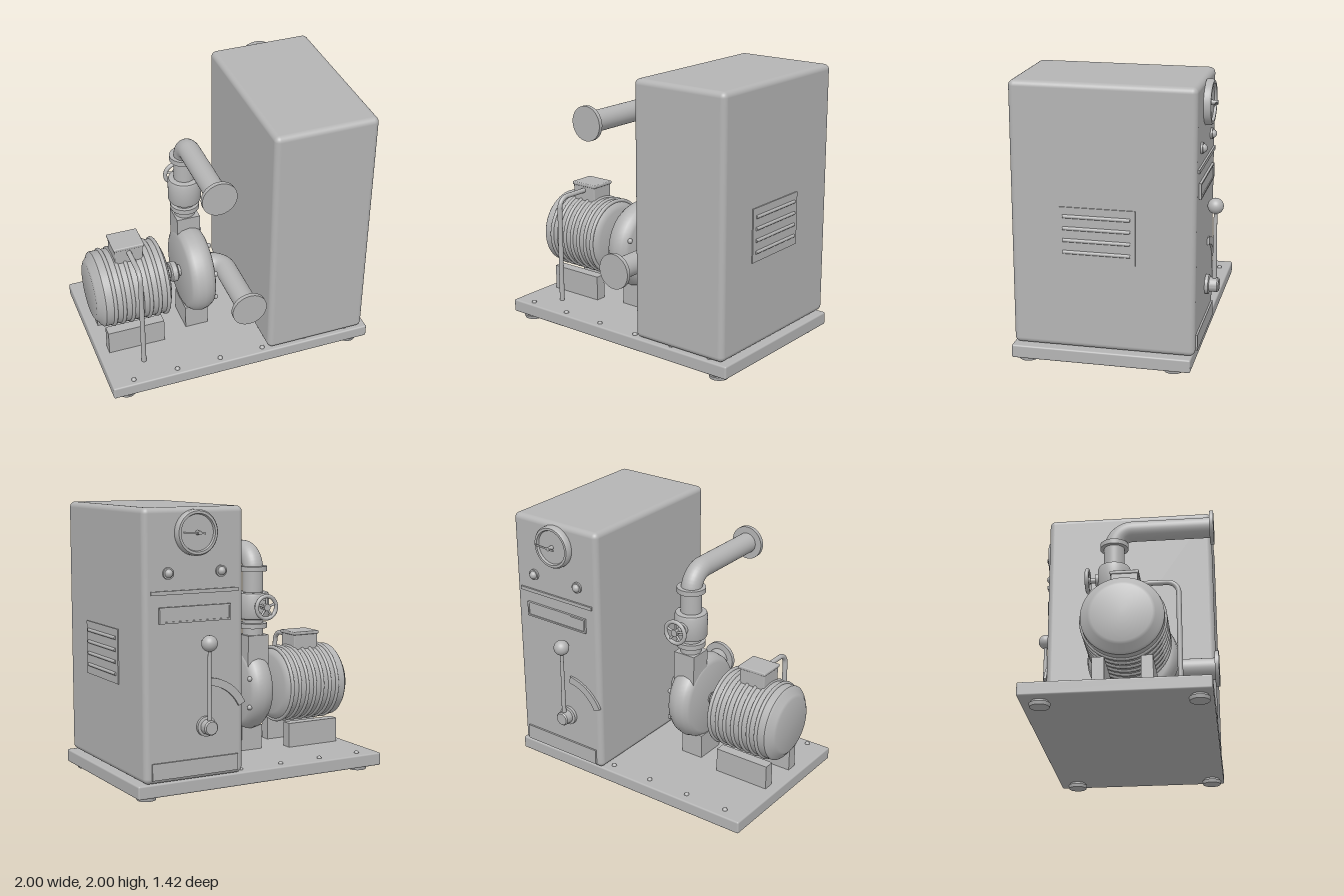
import * as THREE from 'three';
import { toCreasedNormals } from 'three/addons/utils/BufferGeometryUtils.js';
import { RoundedBoxGeometry } from 'three/addons/geometries/RoundedBoxGeometry.js';

const paint = new THREE.MeshStandardMaterial({ color: 0xb4b4b4 });
paint.name = 'greyPaint';
const V = (x, y, z) => new THREE.Vector3(x, y, z);
const UP = V(0, 1, 0);

export function createModel() {
  const root = new THREE.Group();
  root.name = 'pumpSet';

  const group = (name) => {
    const g = new THREE.Group();
    g.name = name;
    root.add(g);
    return g;
  };
  const add = (parent, name, geo, x = 0, y = 0, z = 0) => {
    const m = new THREE.Mesh(geo, paint);
    m.name = name;
    m.position.set(x, y, z);
    parent.add(m);
    return m;
  };
  // box given by its limits, optionally with rounded edges
  const box = (parent, name, [x0, x1], [y0, y1], [z0, z1], r = 0) => {
    const s = [x1 - x0, y1 - y0, z1 - z0];
    const geo = r ? new RoundedBoxGeometry(...s, 4, r) : new THREE.BoxGeometry(...s);
    return add(parent, name, geo, (x0 + x1) / 2, (y0 + y1) / 2, (z0 + z1) / 2);
  };
  // cylinder between two points
  const rod = (parent, name, a, b, r, r2 = r, seg = 40) => {
    const d = b.clone().sub(a);
    const m = add(parent, name, new THREE.CylinderGeometry(r2, r, d.length(), seg));
    m.position.copy(a).addScaledVector(d, 0.5);
    m.quaternion.setFromUnitVectors(UP, d.normalize());
    return m;
  };
  // turned part: [radius, distance] pairs along a direction from an origin
  const turned = (parent, name, pts, origin, dir) => {
    const geo = new THREE.LatheGeometry(pts.map(([r, h]) => new THREE.Vector2(r, h)), 56);
    const m = add(parent, name, toCreasedNormals(geo, 0.6), origin.x, origin.y, origin.z);
    m.quaternion.setFromUnitVectors(UP, dir);
    return m;
  };
  // pipe with one rounded corner
  const bentPipe = (parent, name, a, corner, b, bend, r) => {
    const p = corner.clone().add(a.clone().sub(corner).setLength(bend));
    const q = corner.clone().add(b.clone().sub(corner).setLength(bend));
    const da = p.clone().sub(corner), db = q.clone().sub(corner);
    const centre = corner.clone().add(da).add(db);
    const pts = [a];
    for (let i = 0; i <= 12; i++) {
      const t = (i / 12) * Math.PI / 2;
      pts.push(centre.clone().addScaledVector(db, -Math.cos(t)).addScaledVector(da, -Math.sin(t)));
    }
    pts.push(b);
    const path = new THREE.CurvePath();
    for (let i = 1; i < pts.length; i++) {
      if (pts[i].distanceTo(pts[i - 1]) > 1e-4) path.add(new THREE.LineCurve3(pts[i - 1], pts[i]));
    }
    return add(parent, name, new THREE.TubeGeometry(path, 90, r, 32));
  };
  const dome = (r) => new THREE.SphereGeometry(r, 16, 12);

  // base plate, bolts and feet
  const base = group('base');
  box(base, 'basePlate', [-1, 1], [0.04, 0.135], [-0.57, 0.69], 0.012);
  for (let i = 0; i < 6; i++) {
    for (const z of [-0.49, 0.64]) add(base, 'baseBolt', dome(0.018), -0.835 + i * 0.333, 0.135, z);
  }
  for (const x of [-0.88, 0.88]) {
    for (const z of [-0.435, 0.6]) {
      rod(base, 'footPad', V(x, 0, z), V(x, 0.024, z), 0.066, 0.072);
      rod(base, 'footStem', V(x, 0.024, z), V(x, 0.045, z), 0.058);
    }
  }

  // control cabinet
  const cab = group('cabinet');
  box(cab, 'cabinetBody', [0.2, 0.96], [0.14, 2], [-0.59, 0.68], 0.04);
  box(cab, 'ventPlate', [0.955, 0.968], [0.77, 1.155], [-0.185, 0.35]);
  for (const y of [0.838, 0.922, 1.006, 1.09]) {
    rod(cab, 'ventLouver', V(0.966, y, -0.15), V(0.966, y, 0.315), 0.013, 0.013, 16);
  }

  // instruments on the rear panel
  const panel = group('controlPanel');
  const back = V(0, 0, -1);
  turned(panel, 'gaugeBezel', [[0.155, 0], [0.155, 0.035], [0.145, 0.05], [0.128, 0.05],
    [0.122, 0.032], [0.001, 0.032]], V(0.575, 1.83, -0.588), back);
  rod(panel, 'gaugeHub', V(0.575, 1.83, -0.61), V(0.575, 1.83, -0.665), 0.016, 0.014, 20);
  box(panel, 'gaugeNeedle', [0.53, 0.695], [1.824, 1.836], [-0.66, -0.653]).rotation.z = 0.06;
  for (const x of [0.38, 0.78]) {
    rod(panel, 'lampRing', V(x, 1.565, -0.585), V(x, 1.565, -0.604), 0.04);
    add(panel, 'lamp', dome(0.03), x, 1.565, -0.602);
  }
  box(panel, 'trimStrip', [0.25, 0.91], [1.422, 1.448], [-0.604, -0.585]);
  box(panel, 'labelPlate', [0.31, 0.85], [1.23, 1.34], [-0.6, -0.585]);
  for (const y of [1.236, 1.334]) box(panel, 'labelFrame', [0.31, 0.85], [y - 0.006, y + 0.006], [-0.607, -0.6]);
  for (const x of [0.316, 0.844]) box(panel, 'labelFrame', [x - 0.006, x + 0.006], [1.23, 1.34], [-0.607, -0.6]);
  box(panel, 'kickPlate', [0.25, 0.91], [0.17, 0.285], [-0.603, -0.585]);

  // hand lever with its quadrant
  const px = 0.5, py = 0.505;
  turned(panel, 'leverHub', [[0.07, 0], [0.07, 0.025], [0.052, 0.03], [0.052, 0.085], [0.044, 0.095], [0.001, 0.095]],
    V(px, py, -0.588), back);
  rod(panel, 'leverArm', V(px, py, -0.65), V(px, 1.05, -0.65), 0.017, 0.012, 20);
  add(panel, 'leverKnob', new THREE.SphereGeometry(0.056, 32, 20), px, 1.083, -0.65);
  const a0 = Math.PI * 0.53, a1 = Math.PI * 0.86;
  const arc = new THREE.Shape();
  arc.absarc(0, 0, 0.335, a0, a1, false);
  arc.absarc(0, 0, 0.28, a1, a0, true);
  add(panel, 'leverQuadrant', new THREE.ExtrudeGeometry(arc,
    { depth: 0.02, bevelEnabled: false, curveSegments: 24 }), px, py, -0.607);

  // electric motor, lying along x
  const motor = group('motor');
  const cy = 0.6, cz = 0.107;
  const right = V(1, 0, 0);
  turned(motor, 'motorBody', [[0.001, -0.995], [0.205, -0.995], [0.225, -0.985], [0.245, -0.965], [0.265, -0.955],
    [0.28, -0.94], [0.28, -0.47], [0.265, -0.455], [0.245, -0.44], [0.22, -0.43], [0.001, -0.43]], V(0, cy, cz), right);
  for (let i = 0; i < 7; i++) {
    const rib = add(motor, 'coolingRib', new THREE.TorusGeometry(0.28, 0.014, 10, 56), -0.87 + i * 0.0667, cy, cz);
    rib.rotation.y = Math.PI / 2;
  }
  for (const s of [-1, 1]) {
    box(motor, 'motorFoot', [-0.92, -0.49], [0.13, 0.32], [cz + s * 0.16 - 0.04, cz + s * 0.16 + 0.04]);
  }
  box(motor, 'terminalBox', [-0.81, -0.6], [0.84, 0.98], [0.015, 0.2], 0.008);
  box(motor, 'terminalLid', [-0.818, -0.59], [0.975, 1.0], [0.008, 0.207], 0.008);
  bentPipe(motor, 'conduit', V(-0.705, 0.945, 0.19), V(-0.705, 0.945, 0.47), V(-0.705, 0.13, 0.47), 0.08, 0.018);
  rod(motor, 'shaft', V(-0.44, cy, cz), V(-0.28, cy, cz), 0.042);
  turned(motor, 'coupling', [[0.001, -0.377], [0.065, -0.377], [0.076, -0.367], [0.076, -0.33],
    [0.065, -0.32], [0.001, -0.32]], V(0, cy, cz), right);

  // pump casing
  const pump = group('pump');
  turned(pump, 'pumpCasing', [[0.001, -0.297], [0.27, -0.297], [0.295, -0.285], [0.317, -0.255], [0.328, -0.2],
    [0.317, -0.15], [0.295, -0.118], [0.27, -0.106], [0.001, -0.106]], V(0, cy + 0.005, cz), right);
  for (let i = 0; i < 8; i++) {
    const t = (i + 0.5) * Math.PI / 4;
    add(pump, 'casingBolt', dome(0.019), -0.106, cy + 0.28 * Math.cos(t), cz + 0.28 * Math.sin(t));
  }
  box(pump, 'pumpPedestal', [-0.295, -0.12], [0.13, 0.32], [cz - 0.12, cz + 0.12]);

  // suction line towards the front
  rod(pump, 'suctionFlange', V(-0.11, cy, cz), V(-0.075, cy, cz), 0.13);
  bentPipe(pump, 'suctionPipe', V(-0.1, cy, cz), V(0.03, cy, cz), V(0.03, cy, 0.69), 0.11, 0.08);
  rod(pump, 'suctionEndFlange', V(0.03, cy, 0.68), V(0.03, cy, 0.71), 0.13);

  // discharge line with gate valve
  const line = group('dischargeLine');
  const dx = -0.203, dz = -0.03, top = 1.635;
  box(line, 'dischargeNeck', [-0.29, -0.115], [0.74, 1.02], [dz - 0.085, dz + 0.085]);
  rod(line, 'riser', V(dx, 1.0, dz), V(dx, 1.5, dz), 0.076);
  for (const y of [1.07, 1.492]) rod(line, 'riserFlange', V(dx, y, dz), V(dx, y + 0.037, dz), 0.105);
  turned(line, 'valveBody', [[0.07, 1.137], [0.1, 1.137], [0.113, 1.143], [0.12, 1.16], [0.12, 1.315],
    [0.113, 1.332], [0.1, 1.338], [0.07, 1.338]], V(dx, 0, dz), UP);
  bentPipe(line, 'dischargePipe', V(dx, 1.48, dz), V(dx, top, dz), V(dx, top, 0.69), 0.14, 0.076);
  rod(line, 'dischargeEndFlange', V(dx, top, 0.68), V(dx, top, 0.71), 0.125);

  // valve handwheel
  const wy = 1.24, wz = -0.225;
  rod(line, 'valveBonnet', V(dx, wy, dz), V(dx, wy, -0.165), 0.05);
  rod(line, 'valveStem', V(dx, wy, dz), V(dx, wy, -0.235), 0.018, 0.018, 20);
  add(line, 'handwheelRim', new THREE.TorusGeometry(0.082, 0.015, 12, 40), dx, wy, wz);
  rod(line, 'handwheelHub', V(dx, wy, -0.205), V(dx, wy, -0.241), 0.026, 0.026, 20);
  for (let i = 0; i < 5; i++) {
    const t = i * Math.PI * 0.4 + Math.PI / 2;
    rod(line, 'handwheelSpoke', V(dx, wy, wz),
      V(dx + 0.08 * Math.cos(t), wy + 0.08 * Math.sin(t), wz), 0.009, 0.009, 10);
  }
  return root;
}
